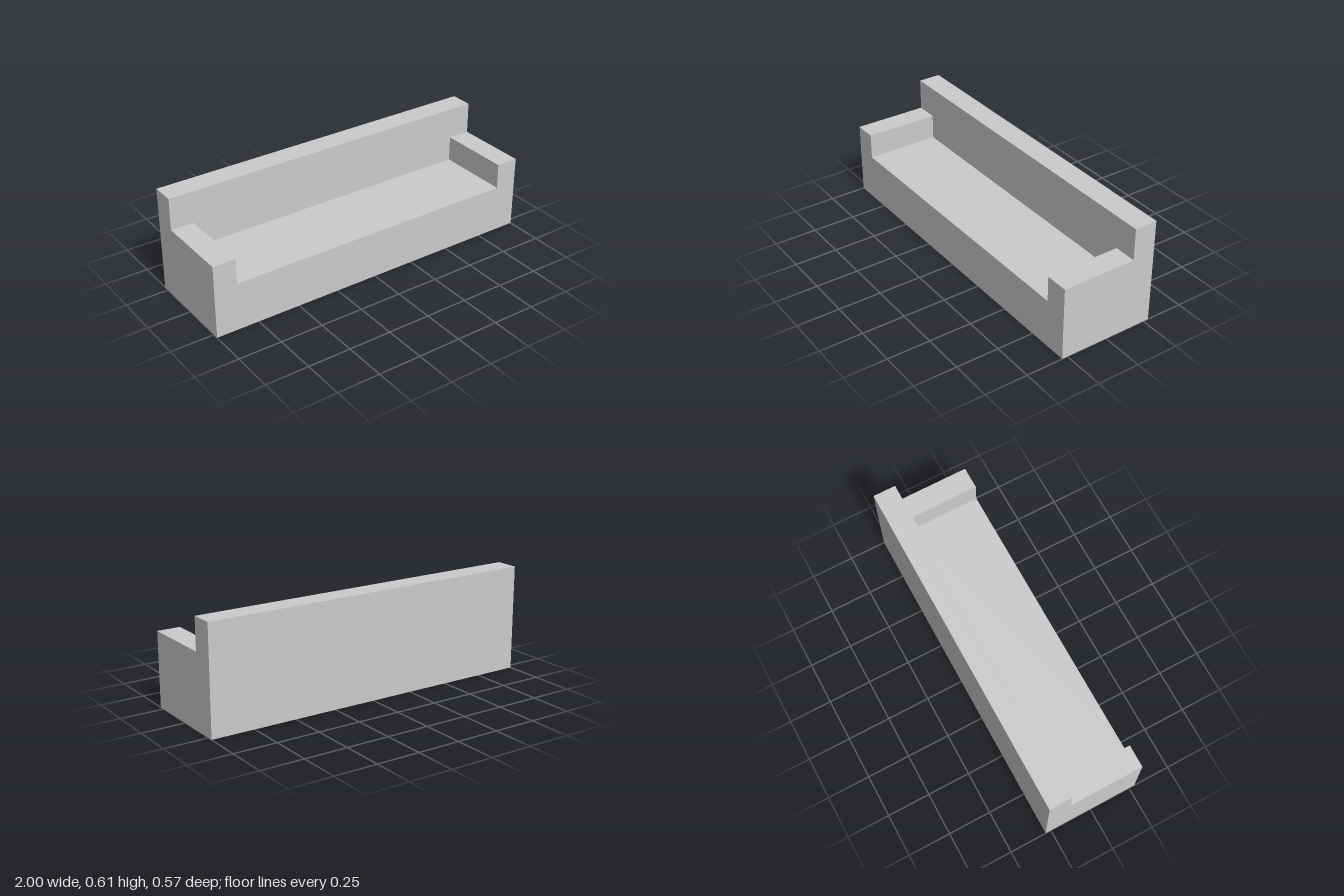
import * as THREE from 'three';

export function createModel() {
  const sofa = new THREE.Group();
  sofa.name = 'sofa';
  const material = new THREE.MeshStandardMaterial({ color: 0xcccccc, flatShading: true });

  const halfWidth = 1, halfDepth = 0.283;
  const backFront = -0.15, armInner = 0.868;
  const seatHeight = 0.28, armHeight = 0.428, backHeight = 0.613;

  // Box standing on the ground, given by its x and z extents and its height
  function block(name, x0, x1, z0, z1, height) {
    const mesh = new THREE.Mesh(new THREE.BoxGeometry(x1 - x0, height, z1 - z0), material);
    mesh.position.set((x0 + x1) / 2, height / 2, (z0 + z1) / 2);
    mesh.name = name;
    sofa.add(mesh);
  }

  // Backrest across the full width
  block('backrest', -halfWidth, halfWidth, -halfDepth, backFront, backHeight);
  // Seat between the arms
  block('seat', -armInner, armInner, backFront, halfDepth, seatHeight);
  // Armrests in front of the backrest
  block('leftArmrest', armInner, halfWidth, backFront, halfDepth, armHeight);
  block('rightArmrest', -halfWidth, -armInner, backFront, halfDepth, armHeight);

  return sofa;
}
